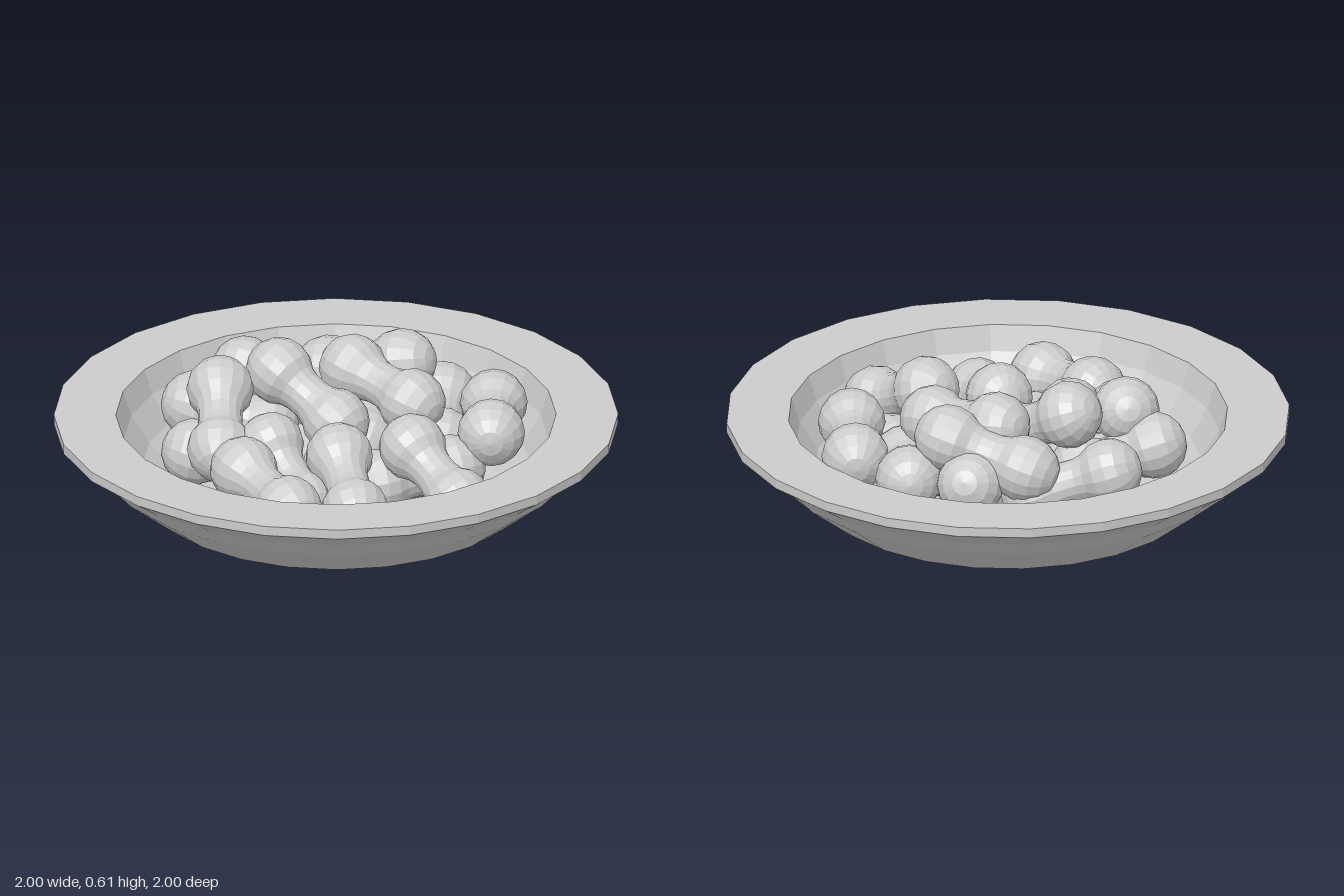
import * as THREE from 'three';

const V = (pts) => pts.map(([x, y]) => new THREE.Vector2(x, y));

export function createModel() {
  const model = new THREE.Group();
  const flat = new THREE.MeshStandardMaterial({ color: 0xcccccc, flatShading: true });
  const smooth = new THREE.MeshStandardMaterial({ color: 0xcccccc });

  const lathe = (name, profile, segments, material) => {
    const mesh = new THREE.Mesh(new THREE.LatheGeometry(V(profile), segments), material);
    mesh.name = name;
    return mesh;
  };

  // Bowl: faceted outer wall, flat wide rim and inner wall
  const bowl = new THREE.Group();
  bowl.name = 'bowl';
  bowl.add(
    lathe('bowlWall', [
      [0.675, 0.11], [0.84, 0.24], [0.9, 0.305], [1, 0.375], [1, 0.41],
      [0.78, 0.41], [0.75, 0.32], [0.685, 0.22], [0.585, 0.14],
    ], 24, flat),
    lathe('bowlUnderside', [[0.425, 0.015], [0.675, 0.11]], 24, smooth),
    lathe('bowlFoot', [[0, 0], [0.425, 0], [0.425, 0.022]], 48, flat),
    lathe('bowlFloor', [[0.585, 0.14], [0.48, 0.1], [0.36, 0.075], [0, 0.07]], 24, smooth),
  );
  model.add(bowl);

  // Puff: two round ends joined by a narrower waist
  const R = 0.12, half = 0.14, neck = 0.075;
  const end = [];
  for (let i = 0; i <= 6; i++) {
    const a = -Math.PI / 2 + (i / 6) * Math.PI * 0.74;
    end.push([Math.max(0, R * Math.cos(a)), -half + R * Math.sin(a)]);
  }
  const profile = [...end, [neck + 0.004, -0.025], [neck + 0.004, 0.025],
    ...end.map(([x, y]) => [x, -y]).reverse()];
  const puffGeometry = new THREE.LatheGeometry(V(profile), 16);

  // Heap: centres of both ends of each puff
  const puffs = [
    // top layer
    [[-0.41, 0.46, -0.11], [-0.41, 0.34, 0.14]],
    [[-0.2, 0.49, -0.2], [0, 0.36, -0.05]],
    [[0.06, 0.48, -0.25], [0.27, 0.43, -0.06]],
    [[0.24, 0.47, -0.32], [-0.03, 0.39, -0.44]],
    [[0.27, 0.4, 0.26], [0.43, 0.28, 0.46]],
    [[0.01, 0.365, 0.26], [0.065, 0.27, 0.52]],
    [[-0.33, 0.345, 0.33], [-0.17, 0.3, 0.575]],
    [[-0.23, 0.35, 0.14], [-0.12, 0.22, 0.33]],
    // outer ring
    [[-0.32, 0.38, -0.46], [-0.06, 0.29, -0.42]],
    [[0.56, 0.36, -0.21], [0.55, 0.37, 0.07]],
    [[0.38, 0.33, -0.35], [0.37, 0.28, -0.06]],
    [[-0.5, 0.36, -0.2], [-0.25, 0.28, -0.2]],
    // bottom layer
    [[0.17, 0.34, -0.44], [0.1, 0.22, -0.2]],
    [[-0.5, 0.27, 0.01], [-0.24, 0.2, 0.04]],
    [[0.15, 0.24, 0.21], [0.41, 0.25, 0.11]],
    [[0, 0.2, 0], [0.24, 0.2, 0.06]],
  ];
  const heap = new THREE.Group();
  heap.name = 'puffHeap';
  const up = new THREE.Vector3(0, 1, 0);
  puffs.forEach(([p, q], i) => {
    const a = new THREE.Vector3(...p), b = new THREE.Vector3(...q);
    const puff = new THREE.Mesh(puffGeometry, flat);
    puff.name = `puff${i + 1}`;
    puff.position.copy(a).add(b).multiplyScalar(0.5);
    puff.scale.y = (a.distanceTo(b) / 2 + R) / (half + R);
    puff.quaternion.setFromUnitVectors(up, b.sub(a).normalize());
    heap.add(puff);
  });
  model.add(heap);
  return model;
}
